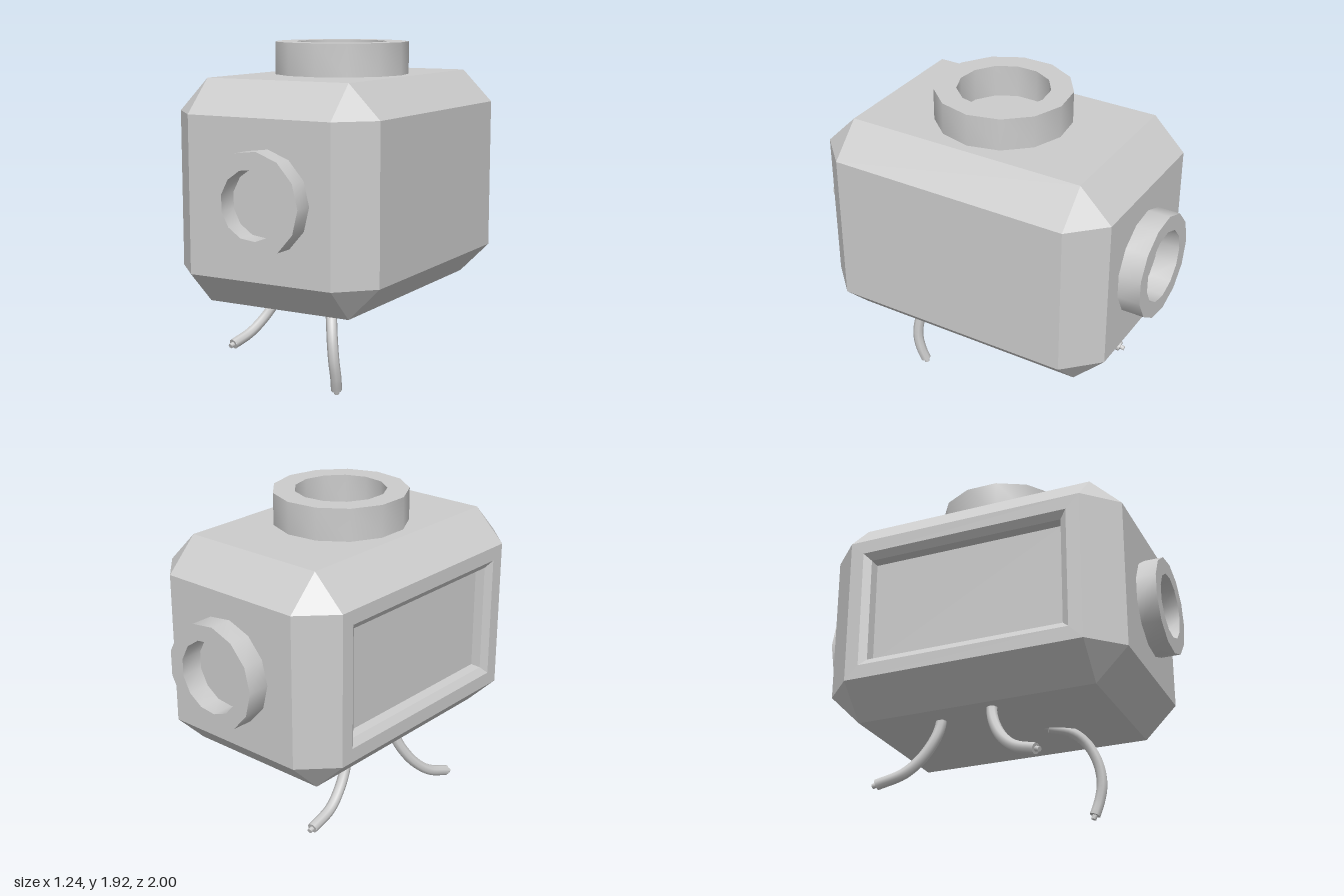
import * as THREE from 'three';
import { toCreasedNormals } from 'three/addons/utils/BufferGeometryUtils.js';

const material = new THREE.MeshStandardMaterial({ color: 0xcccccc });

function addMesh(parent, geometry, name) {
  const mesh = new THREE.Mesh(geometry, material);
  mesh.name = name;
  parent.add(mesh);
  return mesh;
}

// Flat-shaded geometry from a list of convex polygons
function polygonGeometry(polygons) {
  const positions = [];
  for (const p of polygons) {
    for (let i = 1; i < p.length - 1; i++) positions.push(...p[0], ...p[i], ...p[i + 1]);
  }
  const geometry = new THREE.BufferGeometry();
  geometry.setAttribute('position', new THREE.Float32BufferAttribute(positions, 3));
  geometry.computeVertexNormals();
  return geometry;
}

// Chamfered body; its -x face is an inset window
function bodyGeometry() {
  const center = [0, 1.123, 0.008];
  const half = [0.62, 0.615, 0.88];
  const chamfer = 0.183;
  const signs = [-1, 1];
  const polygons = [];

  // Corner point that lies on the outer plane of the given axis
  const corner = (s, axis) => s.map((v, k) => center[k] + v * (half[k] - (k === axis ? 0 : chamfer)));
  const addOutward = (points) => {
    const v = points.map((p) => new THREE.Vector3(...p));
    const normal = v[1].clone().sub(v[0]).cross(v[2].clone().sub(v[0]));
    const outward = v[0].clone().sub(new THREE.Vector3(...center));
    polygons.push(normal.dot(outward) < 0 ? points.reverse() : points);
  };

  for (let axis = 0; axis < 3; axis++) {
    const b = (axis + 1) % 3, c = (axis + 2) % 3;
    const at = (i, j, k) => {
      const s = [0, 0, 0];
      s[axis] = i; s[b] = j; s[c] = k;
      return s;
    };
    for (const i of signs) {
      // Main faces
      if (!(axis === 0 && i === -1)) {
        addOutward([[-1, -1], [1, -1], [1, 1], [-1, 1]].map(([j, k]) => corner(at(i, j, k), axis)));
      }
      // Chamfered edges
      for (const j of signs) {
        addOutward([
          corner(at(i, j, -1), axis), corner(at(i, j, 1), axis),
          corner(at(i, j, 1), b), corner(at(i, j, -1), b),
        ]);
      }
    }
  }
  // Corner triangles
  for (const x of signs) for (const y of signs) for (const z of signs) {
    addOutward([0, 1, 2].map((axis) => corner([x, y, z], axis)));
  }

  // Window frame: [inset, depth] of successive rectangles
  const loops = [[0, 0], [0.08, 0], [0.12, 0.03], [0.127, 0.085]].map(([inset, depth]) =>
    [[-1, -1], [1, -1], [1, 1], [-1, 1]].map(([z, y]) => [
      center[0] - half[0] + depth,
      center[1] + y * (half[1] - chamfer - inset),
      center[2] + z * (half[2] - chamfer - inset),
    ]));
  for (let n = 0; n < loops.length - 1; n++) {
    for (let i = 0; i < 4; i++) {
      const j = (i + 1) % 4;
      polygons.push([loops[n][i], loops[n][j], loops[n + 1][j], loops[n + 1][i]]);
    }
  }
  polygons.push(loops[loops.length - 1]);
  return polygonGeometry(polygons);
}

// Thirteen-sided ring, extruded along +z
function ringGeometry(outer, inner, depth) {
  const polygon = (r) => Array.from({ length: 13 }, (_, i) => {
    const a = (i / 13) * Math.PI * 2;
    return new THREE.Vector2(r * Math.cos(a), r * Math.sin(a));
  });
  const shape = new THREE.Shape(polygon(outer));
  shape.holes.push(new THREE.Path(polygon(inner)));
  const geometry = new THREE.ExtrudeGeometry(shape, { depth, bevelEnabled: false });
  return toCreasedNormals(geometry, 0.6);
}

// Curved leg with a flat cap and a small stub on each end
function makeLeg(name, points) {
  const leg = new THREE.Group();
  leg.name = name;
  const radius = 0.031;
  const curve = new THREE.CatmullRomCurve3(points.map((p) => new THREE.Vector3(...p)));
  addMesh(leg, new THREE.TubeGeometry(curve, 24, radius, 8), 'legTube');
  for (const t of [0, 1]) {
    const end = new THREE.Group();
    end.name = t ? 'legTip' : 'legRoot';
    end.position.copy(curve.getPoint(t));
    const direction = curve.getTangent(t).multiplyScalar(t ? 1 : -1);
    end.quaternion.setFromUnitVectors(new THREE.Vector3(0, 0, 1), direction);
    addMesh(end, new THREE.CircleGeometry(radius, 8), 'endCap');
    const stub = new THREE.CylinderGeometry(0.015, 0.015, 0.025, 8).rotateX(Math.PI / 2).translate(0, 0, 0.0125);
    addMesh(end, toCreasedNormals(stub, 0.9), 'endStub');
    leg.add(end);
  }
  return leg;
}

export function createModel() {
  const model = new THREE.Group();
  model.name = 'model';
  addMesh(model, bodyGeometry(), 'body');

  // Ring ports on the front, back and top
  const front = addMesh(model, ringGeometry(0.28, 0.187, 0.112), 'frontPort');
  front.position.set(0.032, 1.12, 0.888);
  const back = addMesh(model, ringGeometry(0.297, 0.205, 0.128), 'backPort');
  back.rotation.y = Math.PI;
  back.position.set(0.03, 1.12, -0.872);
  const top = addMesh(model, ringGeometry(0.38, 0.257, 0.182), 'topPort');
  top.rotation.x = -Math.PI / 2;
  top.position.set(0, 1.738, 0.015);

  // Three curved legs
  model.add(
    makeLeg('frontLeftLeg', [
      [0.06, 0.515, 0.25], [0.12, 0.495, 0.36], [0.175, 0.43, 0.435], [0.21, 0.32, 0.485],
      [0.227, 0.2, 0.497], [0.228, 0.1, 0.477], [0.218, 0.025, 0.453],
    ]),
    makeLeg('frontRightLeg', [
      [-0.34, 0.55, 0.08], [-0.357, 0.48, 0.083], [-0.39, 0.39, 0.115], [-0.435, 0.29, 0.18],
      [-0.475, 0.215, 0.27], [-0.51, 0.17, 0.395],
    ]),
    makeLeg('backRightLeg', [
      [-0.275, 0.55, -0.255], [-0.28, 0.48, -0.26], [-0.295, 0.39, -0.29], [-0.31, 0.29, -0.36],
      [-0.325, 0.215, -0.455], [-0.335, 0.17, -0.615],
    ]),
  );
  return model;
}
